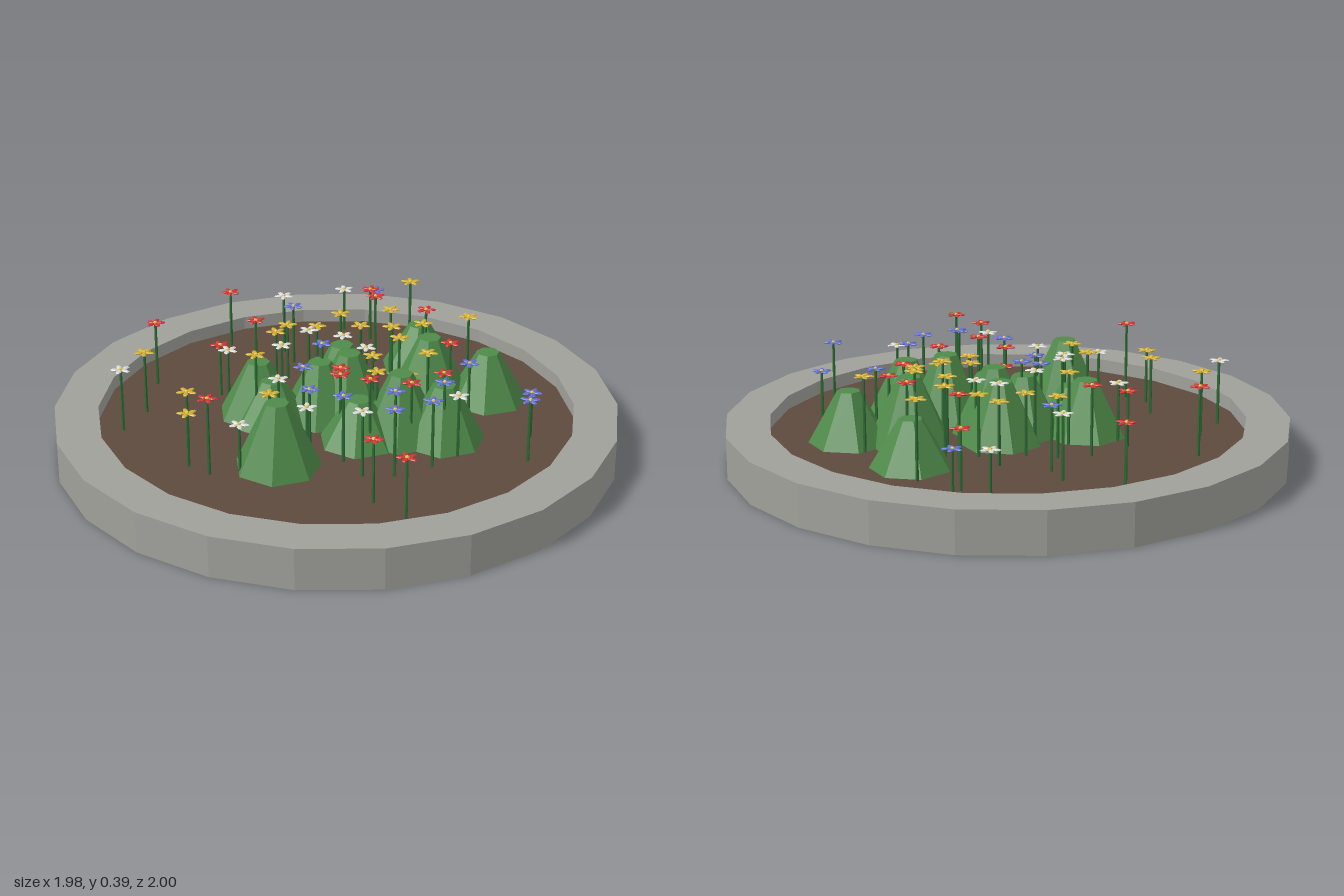
import * as THREE from 'three';
import { mergeGeometries } from 'three/addons/utils/BufferGeometryUtils.js';

const SIDES = 22, INNER = 0.845, SOIL_TOP = 0.1, RIM_TOP = 0.15;

function mat(name, color) {
  const m = new THREE.MeshStandardMaterial({ color });
  m.name = name;
  m.flatShading = true;
  return m;
}

function add(parent, name, geometry, material, x = 0, y = 0, z = 0) {
  const mesh = new THREE.Mesh(geometry, material);
  mesh.name = name;
  mesh.position.set(x, y, z);
  parent.add(mesh);
  return mesh;
}

// five flattened petals around the flower centre
function petalGeometry() {
  const petals = [];
  for (let i = 0; i < 5; i++) {
    const petal = new THREE.SphereGeometry(1, 6, 4);
    petal.scale(0.0095, 0.004, 0.018);
    petal.translate(0, 0, 0.02);
    petal.rotateY((i / 5) * Math.PI * 2);
    petals.push(petal);
  }
  return mergeGeometries(petals);
}

export function createModel() {
  const model = new THREE.Group();
  model.name = 'flowerBed';
  const stone = mat('stone', 0xa0a09b);
  const soil = mat('soil', 0x5c4a3c);
  const leaf = mat('bushGreen', 0x4f8a4a);
  const stemGreen = mat('stemGreen', 0x2f6b35);
  const centre = mat('flowerCentre', 0xe8c547);

  // stone border
  const profile = [[INNER, 0], [1, 0], [1, RIM_TOP], [INNER, RIM_TOP], [INNER, 0]];
  add(model, 'stoneBorder',
    new THREE.LatheGeometry(profile.map(([r, y]) => new THREE.Vector2(r, y)), SIDES), stone);

  // soil filling
  add(model, 'soil', new THREE.CylinderGeometry(INNER, INNER, SOIL_TOP, SIDES), soil, 0, SOIL_TOP / 2, 0);

  // bushes: x, z, top height; taller bushes are a little wider
  const bushes = [
    [0.25, -0.47, 0.27], [0.31, -0.21, 0.34], [0.52, -0.23, 0.285], [0, -0.15, 0.32],
    [-0.28, -0.01, 0.3], [-0.22, 0.05, 0.26], [0.04, -0.04, 0.34], [-0.06, -0.02, 0.31],
    [0.1, 0.16, 0.26], [0.24, 0.1, 0.34], [0.39, 0.11, 0.31], [-0.15, 0.38, 0.34],
  ];
  bushes.forEach(([x, z, top], i) => {
    const h = top - SOIL_TOP;
    add(model, 'bush', new THREE.CylinderGeometry(0.041, 0.12 + h * 0.13, h, 7), leaf, x, SOIL_TOP + h / 2, z)
      .rotation.y = i * 0.9;
  });

  // one flower on its stem
  const petals = petalGeometry();
  const eye = new THREE.SphereGeometry(0.008, 6, 4);
  function addFlower(petal, x, z, top) {
    const flower = new THREE.Group();
    flower.name = 'flower';
    flower.position.set(x, 0, z);
    flower.rotation.y = x * 20 + z * 30;
    const h = top - SOIL_TOP;
    add(flower, 'stem', new THREE.CylinderGeometry(0.005, 0.006, h, 5), stemGreen, 0, SOIL_TOP + h / 2 - 0.003, 0);
    add(flower, 'petals', petals, petal, 0, top, 0);
    add(flower, 'flowerCentre', eye, centre, 0, top, 0);
    model.add(flower);
  }

  // outlying flowers by colour: x, z, head height
  const red = mat('redPetal', 0xd03434);
  const yellow = mat('yellowPetal', 0xd0ae33);
  const white = mat('whitePetal', 0xd8d8d4);
  const blue = mat('bluePetal', 0x5f70cf);
  const plant = (petal, spots) => spots.forEach(([x, z, top]) => addFlower(petal, x, z, top));
  plant(red, [[0.04, -0.68, 0.31], [-0.48, -0.56, 0.32], [-0.33, -0.25, 0.35], [-0.69, -0.19, 0.345],
    [-0.44, -0.13, 0.3], [-0.37, 0.47, 0.385], [0.2, 0.59, 0.335], [0.32, 0.7, 0.335]]);
  plant(yellow, [[0.2, -0.61, 0.38], [0.44, -0.34, 0.37], [-0.68, 0.04, 0.335],
    [-0.48, 0.28, 0.31], [-0.45, 0.42, 0.3]]);
  plant(white, [[-0.07, -0.76, 0.27], [-0.27, -0.53, 0.33], [-0.4, -0.07, 0.31],
    [-0.73, 0.19, 0.335], [0.45, 0.23, 0.33], [-0.27, 0.44, 0.28]]);
  plant(blue, [[0.05, -0.77, 0.27], [-0.22, -0.44, 0.33], [0.69, 0.05, 0.27],
    [0.69, 0.23, 0.33], [0.37, 0.32, 0.35], [0.25, 0.4, 0.35]]);

  // inner flowers fill a spiral over the bushes, colours in turn
  const mix = [yellow, red, white, yellow, blue];
  const count = 37;
  for (let i = 0; i < count; i++) {
    const r = Math.sqrt((i + 0.5) / count), a = i * 2.4;
    addFlower(mix[i % mix.length], 0.08 + 0.4 * r * Math.cos(a), -0.02 + 0.47 * r * Math.sin(a),
      0.345 + 0.03 * Math.sin(i * 5.3));
  }
  return model;
}
